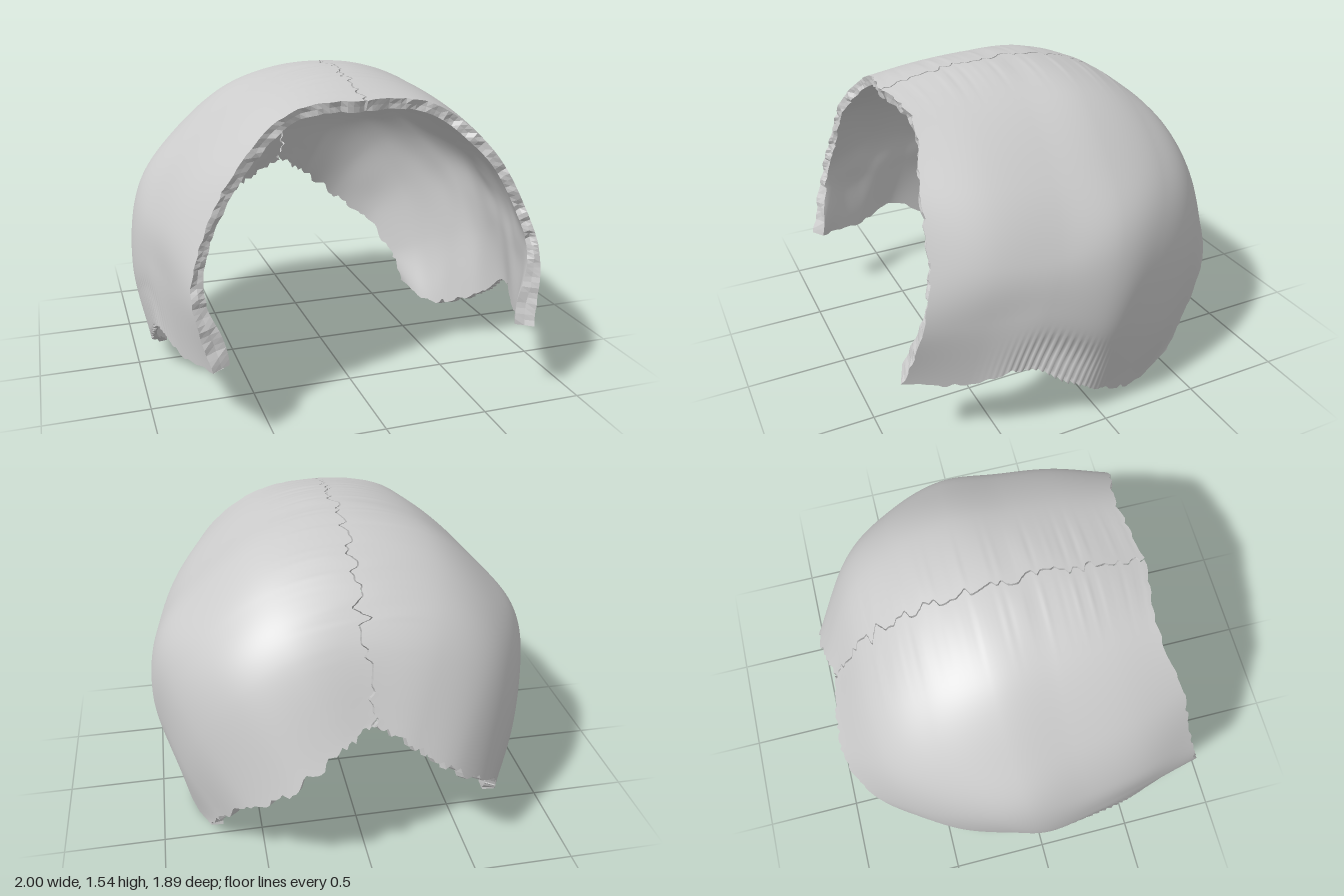
import * as THREE from 'three';

// Control curves of one half, from the front edge to the back edge.
// Each runs from the midline down to the lower border.
const STATIONS = [
  [[0, 1.47, .70], [.34, 1.43, .67], [.6, 1.22, .75], [.77, .93, .79], [.835, .68, .85], [.77, .38, .94]],
  [[0, 1.53, .42], [.38, 1.45, .42], [.70, 1.20, .46], [.87, .92, .52], [.895, .66, .58], [.86, .34, .66]],
  [[0, 1.555, .15], [.40, 1.46, .15], [.74, 1.19, .17], [.92, .92, .22], [.96, .68, .30], [.94, .385, .40]],
  [[0, 1.535, -.15], [.42, 1.45, -.15], [.76, 1.18, -.13], [.945, .93, -.08], [1.0, .57, .02], [.935, .18, .10]],
  [[0, 1.425, -.45], [.40, 1.35, -.45], [.70, 1.13, -.43], [.89, .86, -.33], [.95, .50, -.18], [.87, .05, -.14]],
  [[0, 1.20, -.70], [.34, 1.15, -.71], [.60, .97, -.69], [.77, .70, -.59], [.85, .37, -.43], [.82, .01, -.30]],
  [[0, .85, -.89], [.18, .73, -.94], [.38, .57, -.955], [.58, .42, -.84], [.70, .23, -.65], [.76, .09, -.52]],
].map(row => row.map(p => new THREE.Vector3(...p)));

const NU = 62, NV = 210;
const extend = (a, b) => a.clone().multiplyScalar(2).sub(b);

// Catmull-Rom through pts; `before` is the point ahead of the first one
function spline(pts, t, before) {
  const n = pts.length - 1, f = t * n;
  const i = Math.min(n - 1, Math.max(0, Math.floor(f))), k = f - i;
  const a = i > 0 ? pts[i - 1] : before;
  const d = i < n - 1 ? pts[i + 2] : extend(pts[n], pts[n - 1]);
  const at = c => {
    const p0 = a[c], p1 = pts[i][c], p2 = pts[i + 1][c], p3 = d[c];
    return p1 + .5 * k * (p2 - p0 + k * (2 * p0 - 5 * p1 + 4 * p2 - p3 + k * (3 * (p1 - p2) + p3 - p0)));
  };
  return new THREE.Vector3(at('x'), at('y'), at('z'));
}

// Smooth half dome: u runs midline to lower border, v runs front to back
function dome(u, v) {
  const across = STATIONS.map((row, i) => {
    const mirrored = row[1].clone().setX(-row[1].x);
    return spline(row, u, i === STATIONS.length - 1 ? extend(row[0], row[1]) : mirrored);
  });
  return spline(across, v, extend(across[0], across[1]));
}

// Seeded value noise in -1..1
function hash(i, seed) {
  const s = Math.sin(i * 127.1 + seed * 311.7) * 43758.5453;
  return 2 * (s - Math.floor(s)) - 1;
}
function noise(x, seed) {
  const i = Math.floor(x), f = x - i;
  return THREE.MathUtils.lerp(hash(i, seed), hash(i + 1, seed), f * f * (3 - 2 * f));
}
const bump = (x, centre, width) => Math.exp(-(((x - centre) / width) ** 2));

// Winding midline seam, widest towards the back
const seam = v => noise(v * 75, 3) * (.022 + .03 * bump(v, .75, .09)) + .012 * noise(v * 18, 4);

function bonePoint(u0, v0, inner, side) {
  const seed = inner ? 40 : 20;
  // Ragged front, back and lower borders
  const front = (.5 + .5 * noise(u0 * 45, seed + side)) * .012 * Math.exp(-v0 / .04);
  const back = (.5 + .5 * noise(u0 * 50, 60 + side)) * .017 * Math.exp((v0 - 1) / .04);
  const v = v0 + front - back;
  const u = u0 - (.5 + .5 * noise(v0 * 45, 80 + side)) * .012 * Math.exp((u0 - 1) / .04);

  const e = .002, ua = Math.max(0, u - e), ub = Math.min(1, u + e);
  const va = Math.max(0, v - e), vb = Math.min(1, v + e);
  const normal = dome(ub, v).sub(dome(ua, v)).cross(dome(u, vb).sub(dome(u, va))).normalize();
  let depth = 0;
  if (inner) {
    // Wall thickness: thin along the lower border, thick at the front corner
    depth = .052 - .025 * bump(u, 1, .12) * bump(v, .4, .25);
    depth += .05 * bump(u, .95, .12) * bump(v, 0, .06);
    depth += .03 * bump(u, 1, .1) * bump(v, .88, .12);
    depth += .007 * noise(u * 9 + 3 * v, 7) * noise(v * 12 - 2 * u, 8);
  } else {
    // Radiating grooves above the lower arch
    const mask = THREE.MathUtils.smoothstep(u, .84, .96) * bump(v, .42, .1);
    depth = mask * (.012 + .014 * Math.sin(v * 330));
  }
  const p = dome(u, v).addScaledVector(normal, -depth);
  const near = bump(u0, 0, .09);
  p.x = side * (Math.max(0, p.x) + .004 * near) + seam(v0) * near;
  return p;
}

// Mesh geometry from a grid of points
function gridGeometry(rows, flip) {
  const w = rows[0].length, index = [];
  for (let i = 0; i < rows.length - 1; i++) {
    for (let j = 0; j < w - 1; j++) {
      const a = i * w + j, b = a + 1, c = a + w, d = c + 1;
      index.push(...(flip ? [a, c, b, b, c, d] : [a, b, c, b, d, c]));
    }
  }
  const geometry = new THREE.BufferGeometry().setFromPoints(rows.flat());
  geometry.setIndex(index);
  geometry.computeVertexNormals();
  return geometry;
}

function sheet(inner, side) {
  return Array.from({ length: NV + 1 }, (_, i) =>
    Array.from({ length: NU + 1 }, (_, j) => bonePoint(j / NU, i / NV, inner, side)));
}

function createBone(side) {
  const bone = new THREE.Group();
  bone.name = side > 0 ? 'leftBone' : 'rightBone';
  const smooth = new THREE.MeshStandardMaterial({ color: 0xcccccc, side: THREE.DoubleSide });
  const rough = new THREE.MeshStandardMaterial({ color: 0xcccccc, side: THREE.DoubleSide, flatShading: true });
  const add = (name, geometry, material) => {
    const mesh = new THREE.Mesh(geometry, material);
    mesh.name = name;
    bone.add(mesh);
  };
  const outer = sheet(false, side), inner = sheet(true, side);
  add('outerSurface', gridGeometry(outer, side < 0), smooth);
  add('innerSurface', gridGeometry(inner, side > 0), smooth);

  // Rough rims joining the two surfaces along all four borders
  const borders = {
    frontRim: [g => g[0], side > 0],
    backRim: [g => g[NV], side < 0],
    seamRim: [g => g.map(r => r[0]), side < 0],
    lowerRim: [g => g.map(r => r[NU]), side > 0],
  };
  for (const [name, [edge, flip]] of Object.entries(borders)) {
    const a = edge(outer), b = edge(inner);
    const middle = a.map((p, i) => {
      const m = p.clone().lerp(b[i], .5);
      if (name === 'frontRim') m.z += .012 * noise(i * .6, 9);
      return m;
    });
    add(name, gridGeometry([a, middle, b], flip), rough);
  }
  return bone;
}

export function createModel() {
  const model = new THREE.Group();
  model.name = 'skullRoof';
  for (const side of [1, -1]) model.add(createBone(side));
  return model;
}
